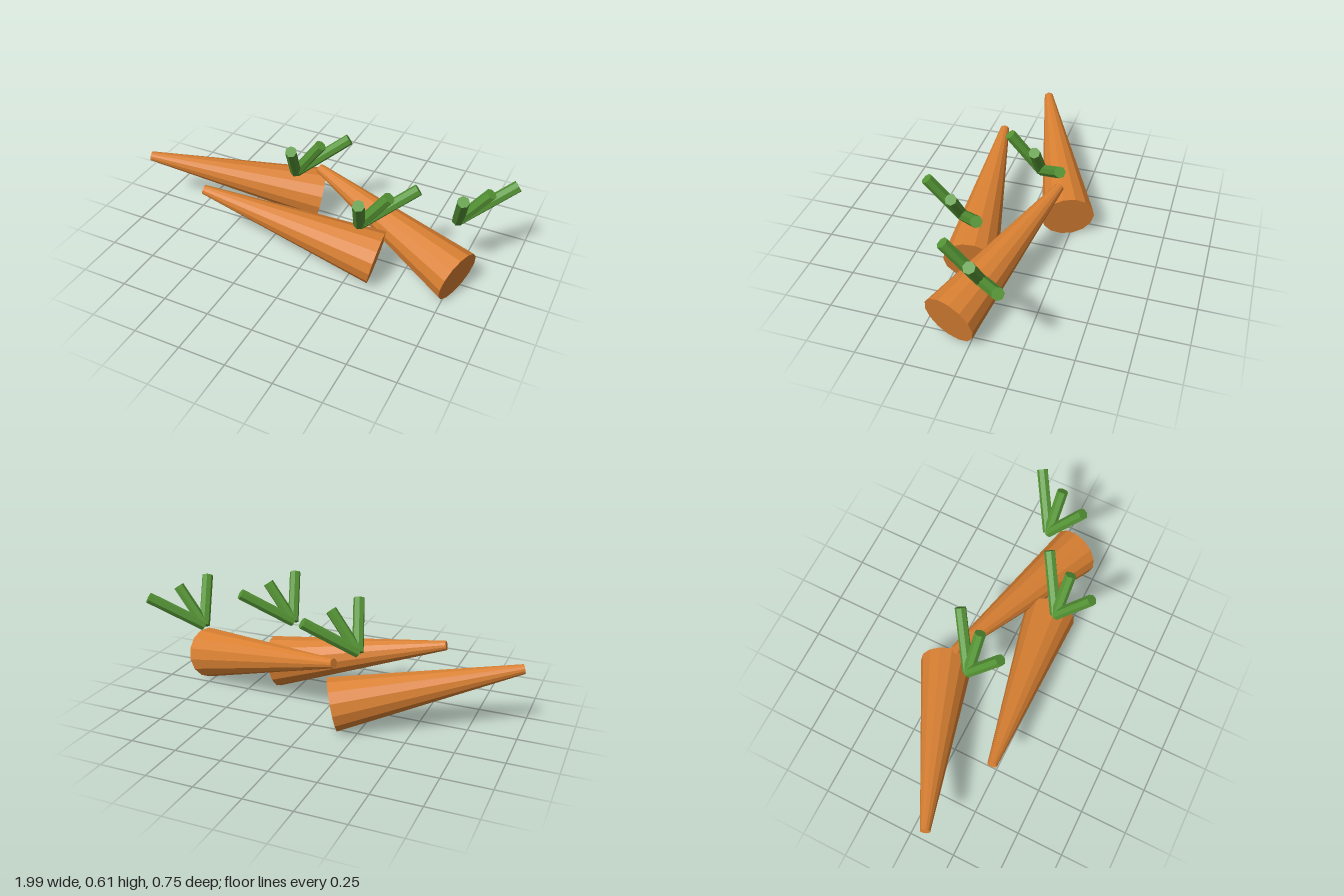
import * as THREE from 'three';

const orange = new THREE.MeshStandardMaterial({ color: 0xd98032, flatShading: true });
const green = new THREE.MeshStandardMaterial({ color: 0x559535, flatShading: true });

// Tapered root: fat end at `fat`, thin end at `tip`, rolled so a flat side faces down
function makeRoot(fat, tip) {
  const a = new THREE.Vector3(...fat), b = new THREE.Vector3(...tip);
  const d = b.clone().sub(a), length = d.length();
  const root = new THREE.Mesh(new THREE.CylinderGeometry(0.025, 0.141, length, 14), orange);
  root.name = 'root';
  root.position.copy(a).add(b).multiplyScalar(0.5);
  root.rotation.order = 'YZX';
  root.rotation.set(0, Math.atan2(d.z, -d.x), Math.acos(d.y / length));
  return root;
}

// Three splayed stalks: forward, middle and back, as offsets from the base
const stalkDirections = [[0.057, 0.232, 0.156], [0.148, 0.205, 0], [0.237, 0.178, -0.158]];

function makeLeaves(base) {
  const leaves = new THREE.Group();
  leaves.name = 'leaves';
  leaves.position.set(...base);
  for (const direction of stalkDirections) {
    const d = new THREE.Vector3(...direction);
    const stalk = new THREE.Mesh(new THREE.CylinderGeometry(0.03, 0.03, d.length(), 7), green);
    stalk.name = 'stalk';
    stalk.position.copy(d).multiplyScalar(0.5);
    stalk.quaternion.setFromUnitVectors(new THREE.Vector3(0, 1, 0), d.normalize());
    leaves.add(stalk);
  }
  return leaves;
}

export function createModel() {
  const model = new THREE.Group();
  model.name = 'carrots';
  const carrots = [
    { name: 'rightCarrot', fat: [-0.112, 0.135, -0.243], tip: [-0.988, 0.336, 0.108], base: [-0.18, 0.363, -0.072] },
    { name: 'middleCarrot', fat: [0.385, 0.135, 0.138], tip: [-0.553, 0.336, 0.252], base: [0.308, 0.363, 0.195] },
    { name: 'leftCarrot', fat: [0.8, 0.135, 0.1], tip: [-0.097, 0.336, -0.193], base: [0.731, 0.363, -0.046] },
  ];
  for (const { name, fat, tip, base } of carrots) {
    const carrot = new THREE.Group();
    carrot.name = name;
    carrot.add(makeRoot(fat, tip), makeLeaves(base));
    model.add(carrot);
  }
  return model;
}
